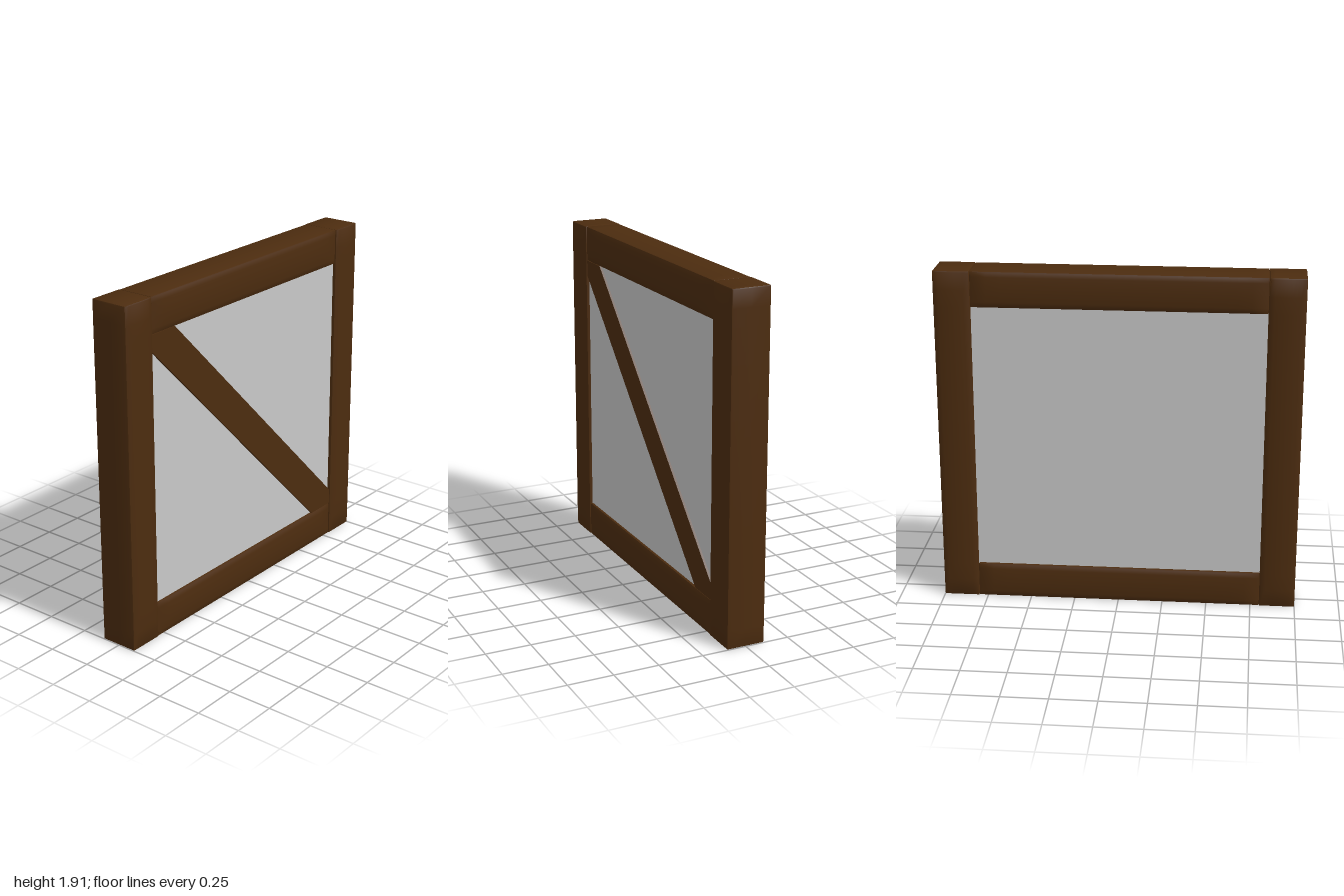
import * as THREE from 'three';
import { toCreasedNormals } from 'three/addons/utils/BufferGeometryUtils.js';

const HEIGHT = 1.91, BEAM = 0.2, BEVEL = 0.008;

// Upright beam whose front and back swell outward and thin toward the ends
function beamGeometry(length, edgeDepth, bulge) {
  const half = [BEAM / 2, length / 2, edgeDepth];
  const segs = [10, 22, 4];
  const geo = new THREE.BoxGeometry(2, 2, 2, ...segs);
  const pos = geo.attributes.position;
  for (let i = 0; i < pos.count; i++) {
    const raw = [pos.getX(i), pos.getY(i), pos.getZ(i)];
    const outer = raw.map((r) => Math.abs(r) > 0.999);
    const onEdge = outer.filter(Boolean).length > 1;
    // The outermost row of cells forms the narrow bevel
    const p = raw.map((r, k) => {
      if (outer[k]) return Math.sign(r) * (half[k] - (onEdge ? BEVEL * 0.3 : 0));
      return (r / (1 - 2 / segs[k])) * (half[k] - BEVEL);
    });
    const across = p[0] / half[0];
    const end = Math.min(1, Math.max(0, (half[1] - Math.abs(p[1])) / 0.1));
    const swell = bulge * (1 - across * across) * end;
    pos.setXYZ(i, p[0], p[1], p[2] * (1 + swell / edgeDepth));
  }
  return toCreasedNormals(geo, 0.6);
}

export function createModel() {
  const group = new THREE.Group();
  const wood = new THREE.MeshStandardMaterial({ color: 0x4c2c0f });
  wood.name = 'dark wood';
  const plaster = new THREE.MeshStandardMaterial({ color: 0xc8c8c8 });
  plaster.name = 'pale grey plaster';

  const add = (name, geometry, material, x, y, z = 0) => {
    const mesh = new THREE.Mesh(geometry, material);
    mesh.name = name;
    mesh.position.set(x, y, z);
    group.add(mesh);
    return mesh;
  };

  // Side posts
  const post = beamGeometry(HEIGHT, 0.108, 0.013);
  add('leftPost', post, wood, 0.9, HEIGHT / 2);
  add('rightPost', post, wood, -0.9, HEIGHT / 2);

  // Top and bottom rails between the posts
  const rail = beamGeometry(1.6, 0.104, 0.009);
  add('topRail', rail, wood, 0, HEIGHT - 0.1).rotation.z = Math.PI / 2;
  add('bottomRail', rail, wood, 0, 0.1).rotation.z = Math.PI / 2;

  // Infill panel
  add('panel', new THREE.BoxGeometry(1.62, 1.53, 0.18), plaster, 0, HEIGHT / 2);

  // Diagonal brace on the front, mitred into two corners
  const corners = [[-0.8, 1.62], [0.62, 0.2], [0.8, 0.2], [0.8, 0.29], [-0.62, 1.71], [-0.8, 1.71]];
  const brace = new THREE.Shape(corners.map(([x, y]) => new THREE.Vector2(x, y)));
  add('diagonalBrace', new THREE.ExtrudeGeometry(brace, { depth: 0.05, bevelEnabled: false }),
    wood, 0, 0, 0.052);

  return group;
}
